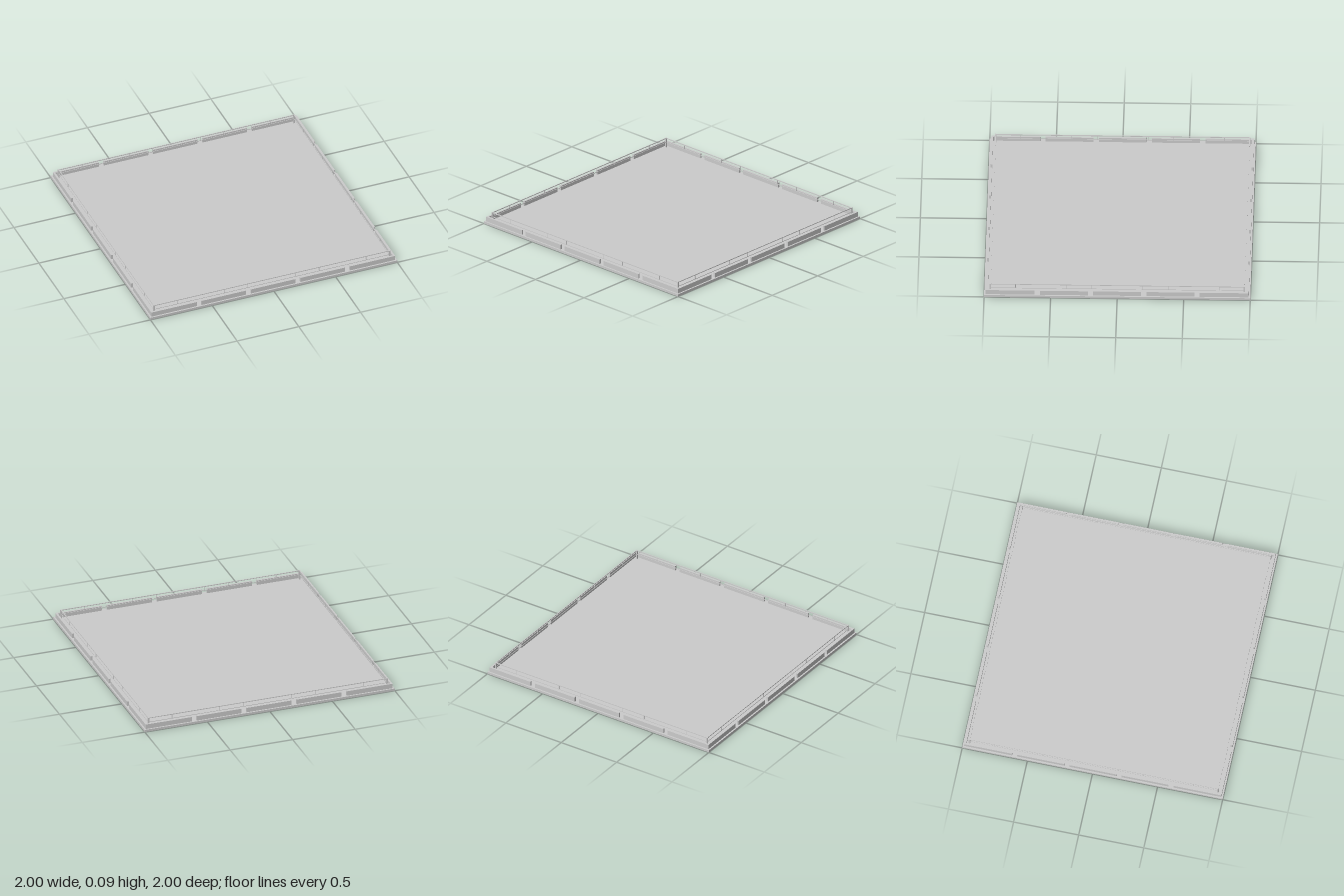
import * as THREE from 'three';

const material = new THREE.MeshStandardMaterial({ color: 0xcccccc, flatShading: true });

function box(parent, name, w, h, d, x, y, z) {
  const mesh = new THREE.Mesh(new THREE.BoxGeometry(w, h, d), material);
  mesh.name = name;
  mesh.position.set(x, y + h / 2, z);
  parent.add(mesh);
}

// One edge of the roof, facing +z
function createSide() {
  const side = new THREE.Group();
  side.name = 'roofEdge';

  // Parapet broken by drainage gaps
  const base = 0.018, top = 0.055, outer = 0.988, thick = 0.015;
  const ends = [-outer, -0.62, -0.58, -0.22, -0.18, 0.18, 0.22, 0.58, 0.62, outer - thick];
  for (let i = 0; i < ends.length; i += 2) {
    box(side, 'parapetSegment', ends[i + 1] - ends[i], top - base, thick,
      (ends[i] + ends[i + 1]) / 2, base, outer - thick / 2);
  }

  // Thin guard rail
  const r = 0.954;
  box(side, 'topRail', 2 * r, 0.006, 0.006, 0, 0.086, r);
  box(side, 'lowerRail', 2 * r, 0.004, 0.004, 0, 0.053, r);
  for (const x of [-0.765, -0.384, -0.192, 0.192, 0.384, 0.765]) {
    box(side, 'railPost', 0.004, 0.033, 0.004, x, 0.055, r);
  }
  box(side, 'cornerPost', 0.011, 0.074, 0.011, r, base, r);
  return side;
}

export function createModel() {
  const model = new THREE.Group();
  model.name = 'flatRoof';
  box(model, 'slab', 2, 0.018, 2, 0, 0, 0);
  for (let i = 0; i < 4; i++) {
    const side = createSide();
    side.rotation.y = i * Math.PI / 2;
    model.add(side);
  }
  return model;
}
